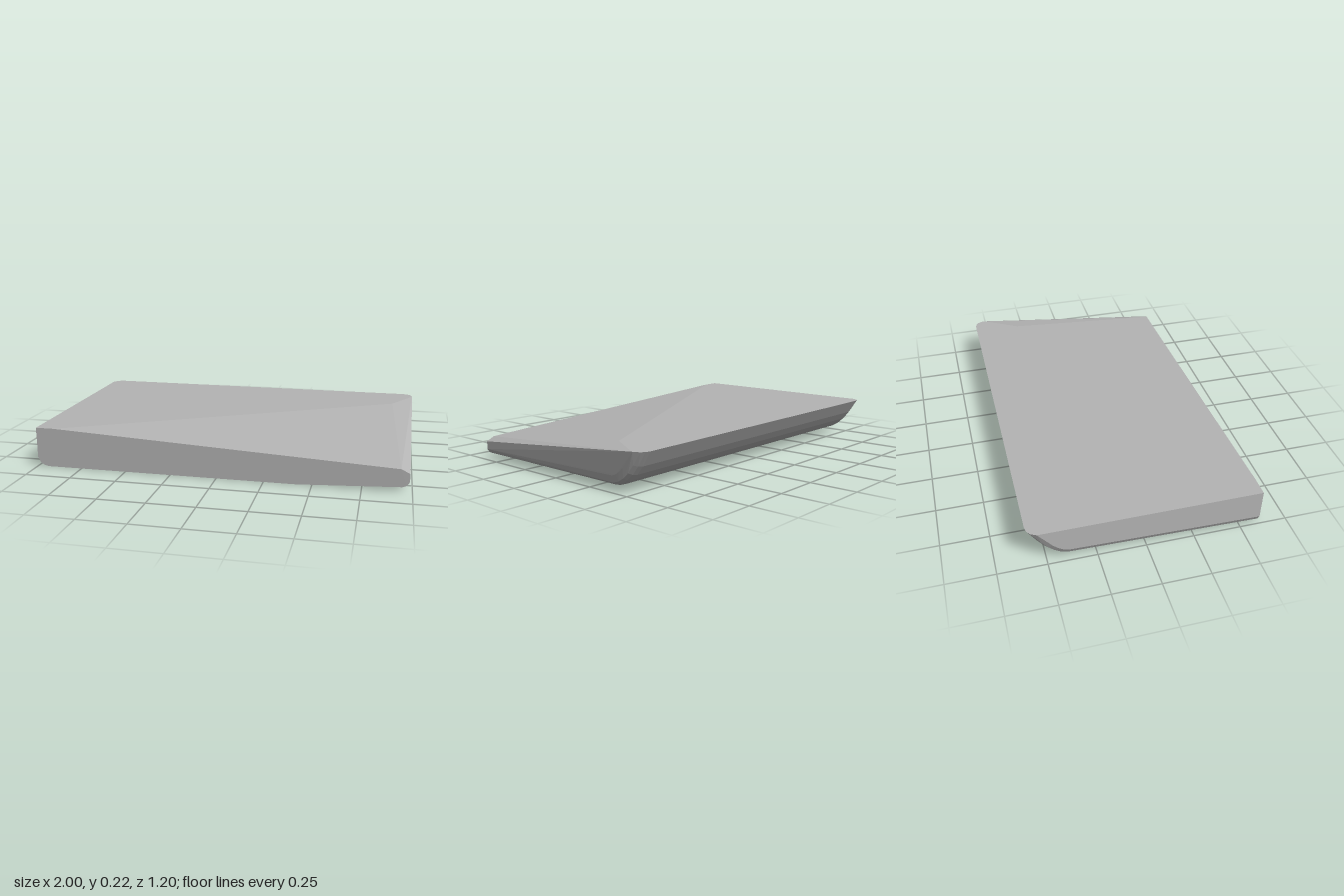
import * as THREE from 'three';
import { ConvexGeometry } from 'three/addons/geometries/ConvexGeometry.js';

const TOP = 0.215;

export function createModel() {
  const group = new THREE.Group();
  const grey = new THREE.MeshStandardMaterial({ color: 0xb4b4b4 });
  grey.name = 'plain grey';

  const points = [];
  const add = (x, y, z) => points.push(new THREE.Vector3(x, Math.min(y, TOP), z));

  // Rounded rear edge, as z, y and the inward direction
  const rear = [
    [-0.40, 0.025, 0.10, 1], [-0.44, 0.038, 0.42, 0.9], [-0.475, 0.06, 0.6, 0.8],
    [-0.51, 0.092, 0.77, 0.64], [-0.545, 0.137, 0.87, 0.5], [-0.575, 0.185, 0.95, 0.3],
    [-0.595, TOP, 1, 0],
  ];
  // Rounded ends, as x and how far the outline is pulled inward
  const leftEnd = [[-0.94, 0], [-0.965, 0.006], [-0.985, 0.02], [-1, 0.05]];
  const rightEnd = [[0.94, 0], [0.965, 0.006], [0.985, 0.02], [1, 0.055]];
  for (const [x, inset] of [...leftEnd, ...rightEnd]) {
    for (const [z, y, dz, dy] of rear) {
      // The right wall leans outward a little towards the top
      const lean = x === 1 ? 0.01 * (1 - y / TOP) : 0;
      add(x - lean, y + dy * inset, z + dz * inset);
    }
  }

  // Flat part of the underside, which rises gently to the rear and right
  add(-0.94, 0, 0.03);
  add(0.42, 0, 0.03);
  add(0.42, 0, 0.6);

  // Front face: square left end, thin right end
  for (const [x, inset] of leftEnd) add(x, inset, 0.6);
  add(-1, TOP, 0.6);
  add(-0.9, TOP, 0.6);
  add(0.94, 0.12, 0.6);
  add(0.985, 0.098, 0.6);
  add(0.985, 0.055, 0.6);
  add(0.972, 0.035, 0.6);
  add(0.95, 0.026, 0.6);

  // Crease where the flat top turns down to the front right corner
  add(0.88, TOP, -0.33);
  add(0.997, TOP, -0.53);

  const slab = new THREE.Mesh(new ConvexGeometry(points), grey);
  slab.name = 'wedgeSlab';
  group.add(slab);
  return group;
}
